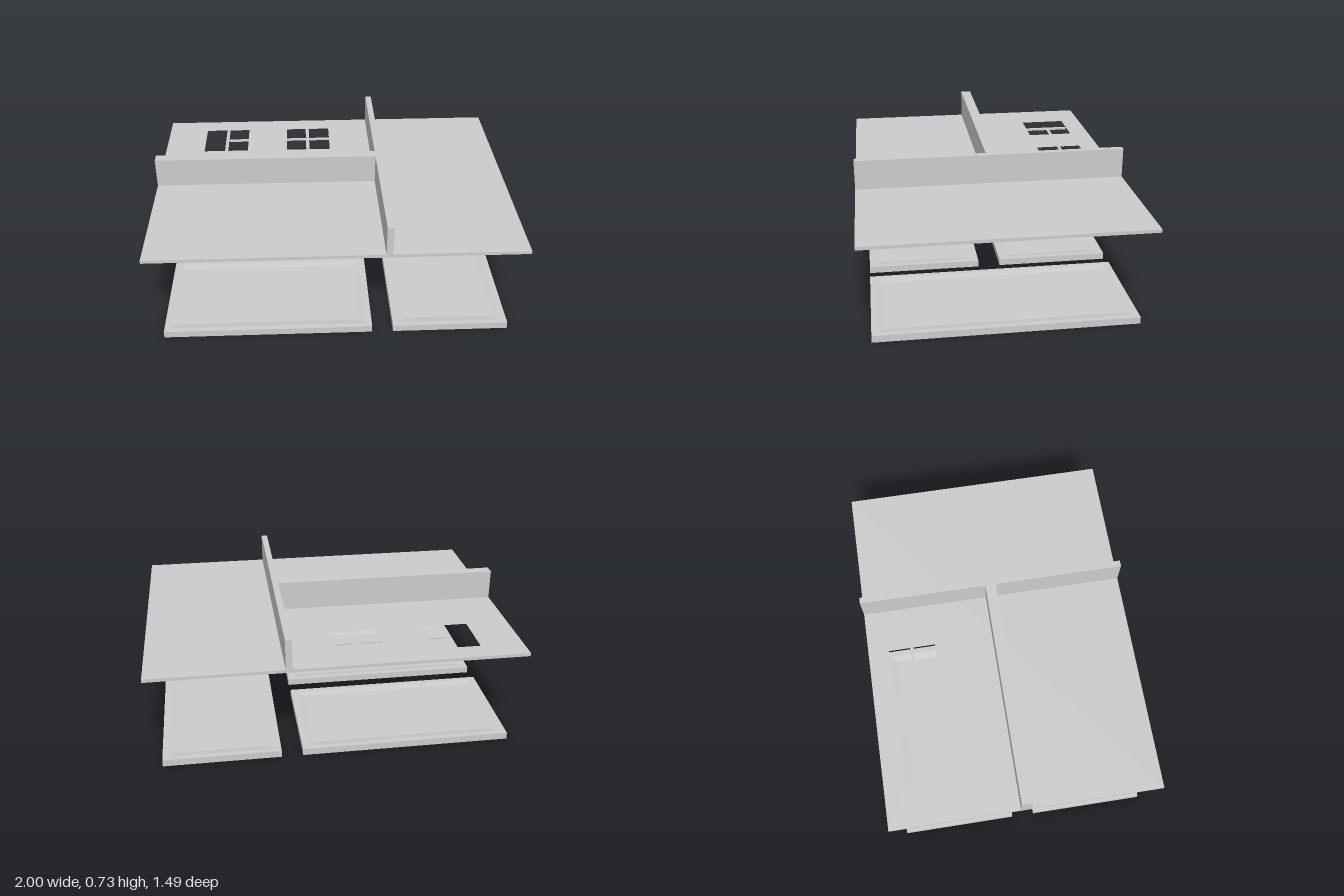
import * as THREE from 'three';

const material = new THREE.MeshStandardMaterial({ color: 0xcccccc, flatShading: true });

function add(group, name, geometry) {
  const mesh = new THREE.Mesh(geometry, material);
  mesh.name = name;
  group.add(mesh);
}

// Axis-aligned block given by its limits
function block(x0, x1, y0, y1, z0, z1) {
  return new THREE.BoxGeometry(x1 - x0, y1 - y0, z1 - z0)
    .translate((x0 + x1) / 2, (y0 + y1) / 2, (z0 + z1) / 2);
}

function rectangle(PathType, x0, x1, z0, z1) {
  const points = [[x0, -z0], [x1, -z0], [x1, -z1], [x0, -z1]];
  return new PathType(points.map(([x, y]) => new THREE.Vector2(x, y)));
}

// Floor tray: rectangular rings up the side, over the rim and into a shallow dish
function tray(x0, x1, z0, z1) {
  const rings = [[0, 0], [0, 0.038], [0.03, 0.038], [0.07, 0.031]];
  const positions = [];
  const index = [];
  for (const [inset, y] of rings) {
    const l = x0 + inset, r = x1 - inset, b = z0 + inset, f = z1 - inset;
    positions.push(l, y, f, r, y, f, r, y, b, l, y, b);
  }
  for (let k = 0; k < rings.length - 1; k++) {
    for (let i = 0; i < 4; i++) {
      const a = k * 4 + i, b = k * 4 + (i + 1) % 4;
      index.push(a, b, b + 4, a, b + 4, a + 4);
    }
  }
  const t = (rings.length - 1) * 4;
  index.push(t, t + 1, t + 2, t, t + 2, t + 3, 0, 2, 1, 0, 3, 2);
  const geometry = new THREE.BufferGeometry();
  geometry.setAttribute('position', new THREE.Float32BufferAttribute(positions, 3));
  geometry.setIndex(index);
  geometry.computeVertexNormals();
  return geometry;
}

export function createModel() {
  const group = new THREE.Group();
  group.name = 'roomLayout';
  const bottom = 0.545, thickness = 0.018, top = 0.728, depth = 0.746;

  // Upper slab with two groups of window openings
  const slab = rectangle(THREE.Shape, -1, 1, -depth, depth);
  const openings = [
    [-0.765, -0.64, -0.63, -0.365],
    [-0.62, -0.5, -0.63, -0.51],
    [-0.62, -0.5, -0.49, -0.365],
  ];
  for (const [x0, x1] of [[-0.26, -0.14], [-0.12, 0.005]]) {
    for (const [z0, z1] of [[-0.63, -0.51], [-0.49, -0.365]]) openings.push([x0, x1, z0, z1]);
  }
  for (const o of openings) slab.holes.push(rectangle(THREE.Path, ...o));
  add(group, 'upperSlab', new THREE.ExtrudeGeometry(slab, { depth: thickness, bevelEnabled: false })
    .rotateX(-Math.PI / 2).translate(0, bottom, 0));

  // Partition walls standing on the slab
  const wallBase = bottom + thickness - 0.004;
  add(group, 'longWall', block(0.25, 0.285, wallBase, top, -depth, depth));
  add(group, 'crossWall', block(-1, 0.25, wallBase, top, -0.035, 0.025));

  // Three floor trays below, one per room
  add(group, 'leftRoomFloor', tray(0.31, 0.942, -0.693, 0.693));
  add(group, 'rightFrontFloor', tray(-0.942, 0.195, 0.06, 0.693));
  add(group, 'rightBackFloor', tray(-0.942, 0.195, -0.693, -0.065));

  return group;
}
